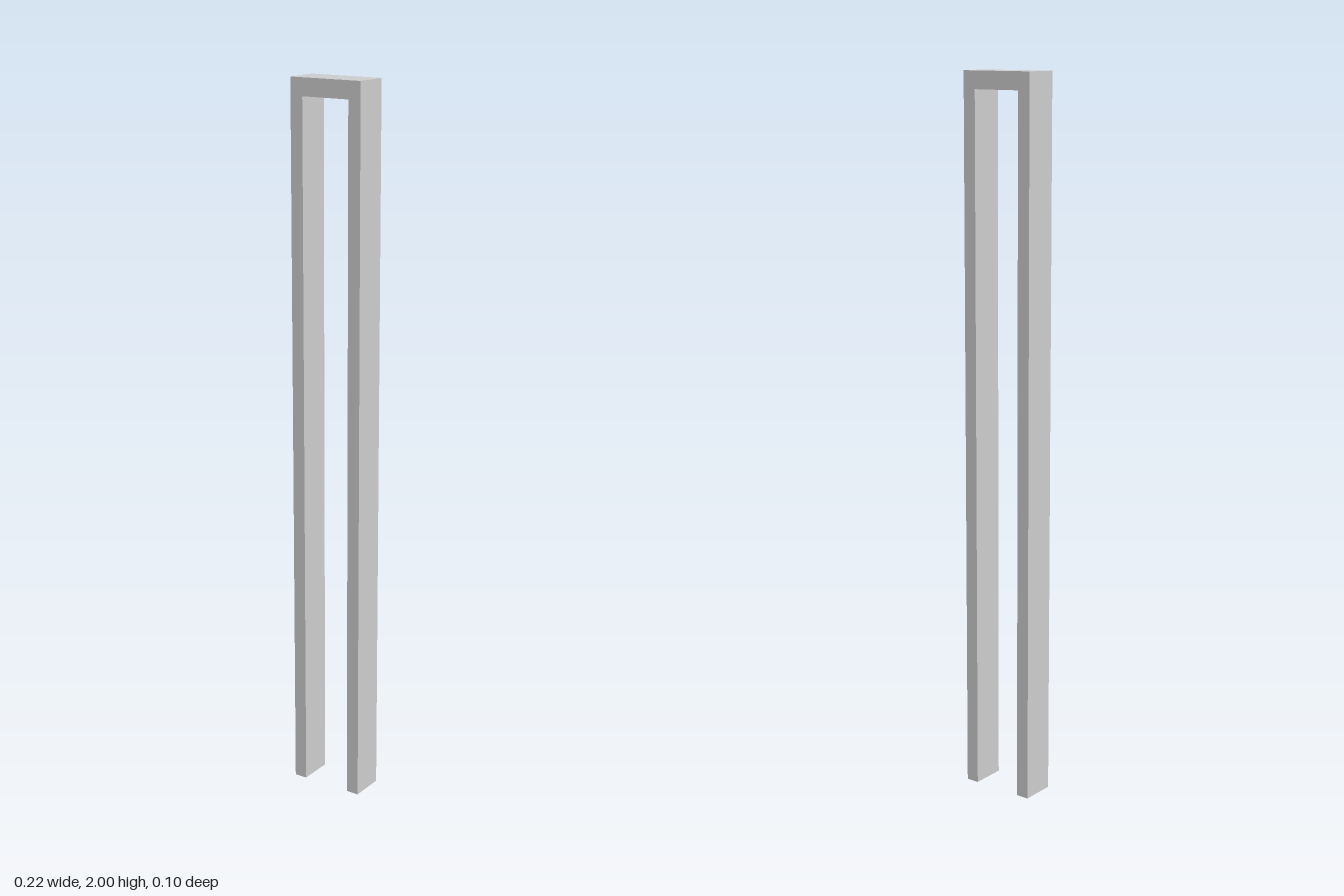
import * as THREE from 'three';

export function createModel() {
  const group = new THREE.Group();
  group.name = 'doorFrame';

  const height = 2, halfWidth = 0.108, halfOpening = 0.071, lintelBottom = 1.952, depth = 0.098;

  // Two uprights joined by a lintel, as one continuous outline
  const outline = new THREE.Shape([
    [-halfWidth, 0], [-halfOpening, 0], [-halfOpening, lintelBottom], [halfOpening, lintelBottom],
    [halfOpening, 0], [halfWidth, 0], [halfWidth, height], [-halfWidth, height],
  ].map(([x, y]) => new THREE.Vector2(x, y)));

  const geometry = new THREE.ExtrudeGeometry(outline, { depth, bevelEnabled: false });
  geometry.translate(0, 0, -depth / 2);

  const frame = new THREE.Mesh(geometry, new THREE.MeshStandardMaterial({ color: 0xcccccc, flatShading: true }));
  frame.name = 'frame';
  group.add(frame);
  return group;
}
